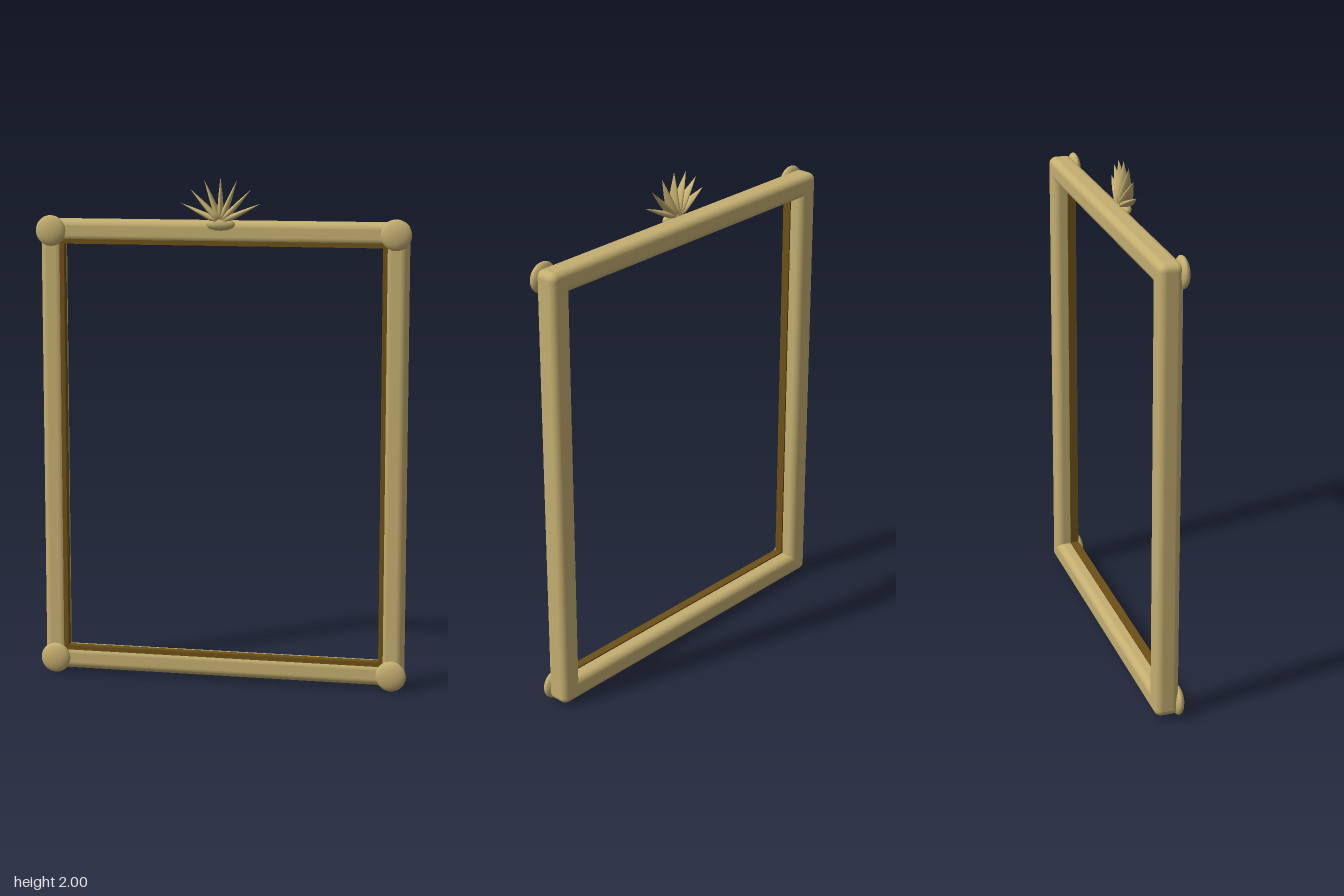
import * as THREE from 'three';
import { RoundedBoxGeometry } from 'three/addons/geometries/RoundedBoxGeometry.js';

export function createModel() {
  const model = new THREE.Group();
  model.name = 'ornateFrame';

  const gold = new THREE.MeshStandardMaterial({ color: 0xc4ae70 });
  gold.name = 'antique gold';
  const bronze = new THREE.MeshStandardMaterial({ color: 0x6e5018 });
  bronze.name = 'dark bronze';

  const add = (name, geometry, material, x, y, z, parent = model) => {
    const mesh = new THREE.Mesh(geometry, material);
    mesh.name = name;
    mesh.position.set(x, y, z);
    parent.add(mesh);
    return mesh;
  };

  // Bar centre lines
  const cx = 0.68, yLow = 0.065, yHigh = 1.785, yMid = (yLow + yHigh) / 2;
  const bar = 0.09, depth = 0.095, barZ = -0.0145;

  // Rounded rails and stiles
  const railGeo = new RoundedBoxGeometry(2 * cx + bar, bar, depth, 5, 0.028);
  const stileGeo = new RoundedBoxGeometry(bar, yHigh - yLow + bar, depth, 5, 0.028);
  add('bottomRail', railGeo, gold, 0, yLow, barZ);
  add('topRail', railGeo, gold, 0, yHigh, barZ);
  for (const s of [-1, 1]) add(s > 0 ? 'leftStile' : 'rightStile', stileGeo, gold, s * cx, yMid, barZ);

  // Dark inner lip, set in the front half of the opening
  const lip = 0.02, lipDepth = 0.034, lipX = 0.639, lipZ = 0.011;
  const lipY = yHigh - yMid - (cx - lipX);
  for (const s of [-1, 1]) {
    add('innerLipSide', new THREE.BoxGeometry(lip, 2 * lipY + lip, lipDepth), bronze, s * lipX, yMid, lipZ);
    add('innerLipRail', new THREE.BoxGeometry(2 * lipX - lip, lip, lipDepth), bronze, 0, yMid + s * lipY, lipZ);
  }

  // Flattened corner bosses
  const bossGeo = new THREE.SphereGeometry(1, 28, 18);
  for (const x of [-cx, cx]) {
    for (const y of [yLow, yHigh]) {
      add('cornerBoss', bossGeo, gold, x, y, 0.036).scale.set(0.06, 0.06, 0.023);
    }
  }

  // Crest: a fan of seven pointed petals on an oval boss
  const crest = new THREE.Group();
  crest.name = 'crest';
  crest.position.set(0, 1.825, 0.034);
  model.add(crest);
  const profile = [[0, 0], [0.022, 0.015], [0.028, 0.04], [0.018, 0.1], [0.0001, 0.175]]
    .map(([r, y]) => new THREE.Vector2(r, y));
  const petalGeo = new THREE.LatheGeometry(profile, 12);
  for (let i = -3; i <= 3; i++) {
    const petal = add('crestPetal', petalGeo, gold, 0, 0, 0, crest);
    petal.scale.x = 0.43;
    petal.rotation.z = -i * 0.378;
  }
  add('crestBoss', bossGeo, gold, 0, -0.007, 0.002, crest).scale.set(0.057, 0.025, 0.023);

  return model;
}
